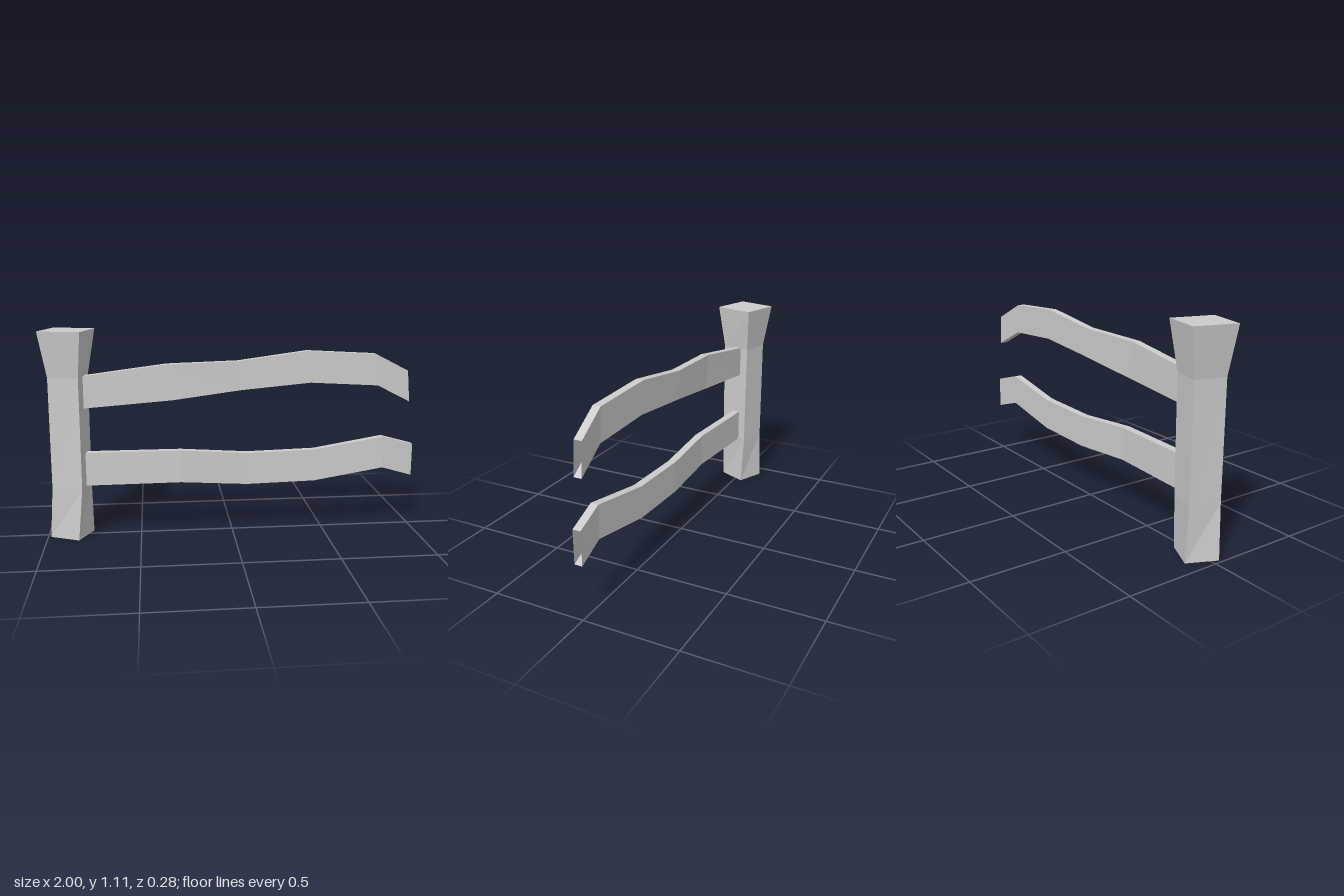
import * as THREE from 'three';

const material = new THREE.MeshStandardMaterial({
  color: 0xcccccc, flatShading: true, side: THREE.DoubleSide,
});

// Skins four-cornered cross-sections into an open tube, optionally capping the last one
function loft(name, rings, capEnd = false) {
  const index = [];
  for (let i = 0; i < rings.length - 1; i++) {
    for (let j = 0; j < 4; j++) {
      const a = i * 4 + j, b = i * 4 + (j + 1) % 4;
      index.push(a, b, b + 4, a, b + 4, a + 4);
    }
  }
  if (capEnd) {
    const t = (rings.length - 1) * 4;
    index.push(t, t + 1, t + 2, t, t + 2, t + 3);
  }
  const indexed = new THREE.BufferGeometry();
  indexed.setAttribute('position', new THREE.Float32BufferAttribute(rings.flat(2), 3));
  indexed.setIndex(index);
  const geometry = indexed.toNonIndexed();
  geometry.computeVertexNormals();
  const mesh = new THREE.Mesh(geometry, material);
  mesh.name = name;
  return mesh;
}

// Post level: corners in order left, front, right, back as [x, z]
const postRing = (y, corners) => corners.map(([x, z]) => [x, y, z]);

// Rail section: top point, bottom point and the z of its back face
const RAIL_DEPTH = 0.042;
const railRing = ([topX, topY, bottomX, bottomY, z]) => [
  [bottomX, bottomY, z + RAIL_DEPTH], [bottomX, bottomY, z],
  [topX, topY, z], [topX, topY, z + RAIL_DEPTH],
];

export function createModel() {
  const group = new THREE.Group();
  group.name = 'brokenFence';

  // Twisted post, flared at the top and open underneath
  group.add(loft('post', [
    postRing(0, [[-0.985, 0.035], [-0.83, 0.106], [-0.76, -0.045], [-0.915, -0.115]]),
    postRing(0.28, [[-0.963, 0.05], [-0.803, 0.102], [-0.765, -0.057], [-0.92, -0.102]]),
    postRing(0.87, [[-0.96, 0.055], [-0.80, 0.102], [-0.762, -0.06], [-0.918, -0.102]]),
    postRing(1.11, [[-1.0, 0.075], [-0.78, 0.138], [-0.72, -0.08], [-0.94, -0.14]]),
  ], true));

  // Warped hollow rails set into the post, open at the free end
  group.add(loft('upperRail', [
    [-0.92, 0.855, -0.92, 0.69, -0.02],
    [-0.75, 0.876, -0.75, 0.704, -0.012],
    [-0.35, 0.93, -0.32, 0.74, 0.008],
    [0.03, 0.94, 0.04, 0.785, -0.003],
    [0.40, 0.99, 0.42, 0.82, 0.0],
    [0.77, 0.97, 0.785, 0.80, 0.007],
    [0.955, 0.875, 0.97, 0.705, -0.012],
  ].map(railRing)));
  group.add(loft('lowerRail', [
    [-0.92, 0.458, -0.92, 0.278, -0.02],
    [-0.75, 0.461, -0.75, 0.281, -0.012],
    [-0.28, 0.466, -0.28, 0.29, 0.007],
    [0.08, 0.44, 0.08, 0.266, -0.003],
    [0.45, 0.45, 0.45, 0.275, -0.003],
    [0.825, 0.515, 0.83, 0.34, 0.004],
    [1.0, 0.465, 1.0, 0.288, -0.012],
  ].map(railRing)));

  return group;
}
